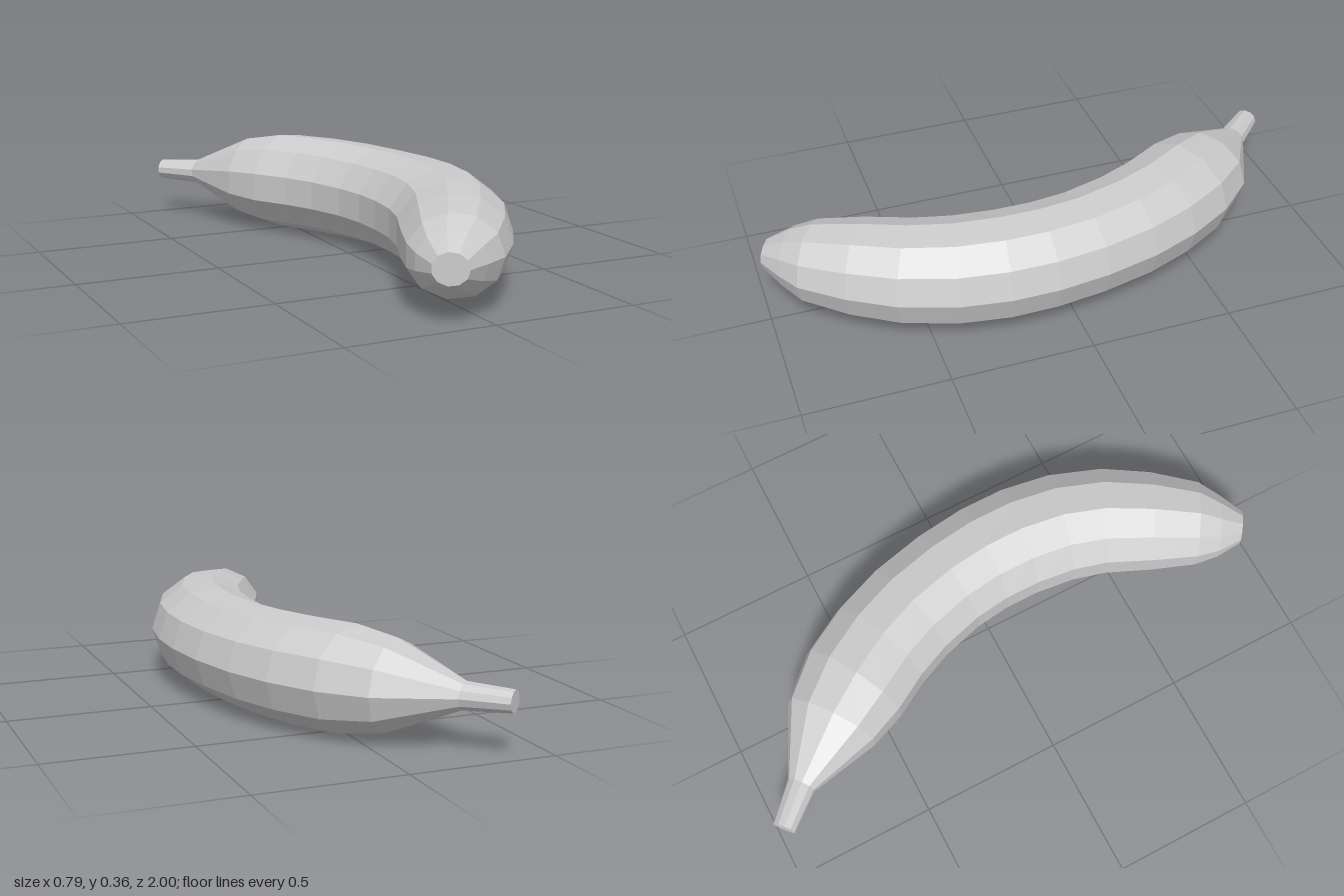
import * as THREE from 'three';

const SIDES = 11;
const MID_Y = 0.18;
const HEIGHT_RATIO = 0.455; // vertical radius relative to the width of a section

// Sections from stem to tip: outer edge x, z and inner edge x, z
const sections = [
  [-0.335, -1.0, -0.397, -0.947],
  [-0.217, -0.889, -0.296, -0.825],
  [0.032, -0.772, -0.238, -0.571],
  [0.159, -0.64, -0.185, -0.444],
  [0.254, -0.476, -0.111, -0.317],
  [0.323, -0.302, -0.058, -0.196],
  [0.37, -0.106, -0.016, -0.048],
  [0.393, 0.079, 0, 0.079],
  [0.393, 0.249, 0, 0.201],
  [0.365, 0.429, -0.016, 0.339],
  [0.296, 0.619, -0.048, 0.455],
  [0.201, 0.772, -0.116, 0.608],
  [0.085, 0.91, -0.175, 0.757],
  [0, 0.958, -0.19, 0.841],
  [-0.09, 1.0, -0.187, 0.937],
];

// Eleven-sided ring with one corner on the outer edge and a flat on the inner edge
function ring([ox, oz, ix, iz]) {
  const width = Math.hypot(ox - ix, oz - iz);
  const low = Math.cos(Math.PI / SIDES);
  const points = [];
  for (let j = 0; j < SIDES; j++) {
    const a = (j / SIDES) * Math.PI * 2;
    const t = (Math.cos(a) + low) / (1 + low);
    points.push(ix + (ox - ix) * t, MID_Y + HEIGHT_RATIO * width * Math.sin(a), iz + (oz - iz) * t);
  }
  return points;
}

// Skin consecutive rings and close both ends with flat caps
function loft(list) {
  const positions = list.flatMap(ring);
  const index = [];
  for (let i = 0; i < list.length - 1; i++) {
    for (let j = 0; j < SIDES; j++) {
      const k = (j + 1) % SIDES;
      const a = i * SIDES + j, b = i * SIDES + k;
      index.push(a, b, a + SIDES, b, b + SIDES, a + SIDES);
    }
  }
  const last = (list.length - 1) * SIDES;
  for (let j = 1; j < SIDES - 1; j++) {
    index.push(0, j + 1, j, last, last + j, last + j + 1);
  }
  const geometry = new THREE.BufferGeometry();
  geometry.setAttribute('position', new THREE.Float32BufferAttribute(positions, 3));
  geometry.setIndex(index);
  const flat = geometry.toNonIndexed();
  flat.computeVertexNormals();
  return flat;
}

export function createModel() {
  const group = new THREE.Group();
  group.name = 'banana';
  const material = new THREE.MeshStandardMaterial({ color: 0xcccccc, flatShading: true });
  // Peel, stem and blunt tip are one continuous skin
  const peel = new THREE.Mesh(loft(sections), material);
  peel.name = 'peelAndStem';
  group.add(peel);
  return group;
}
